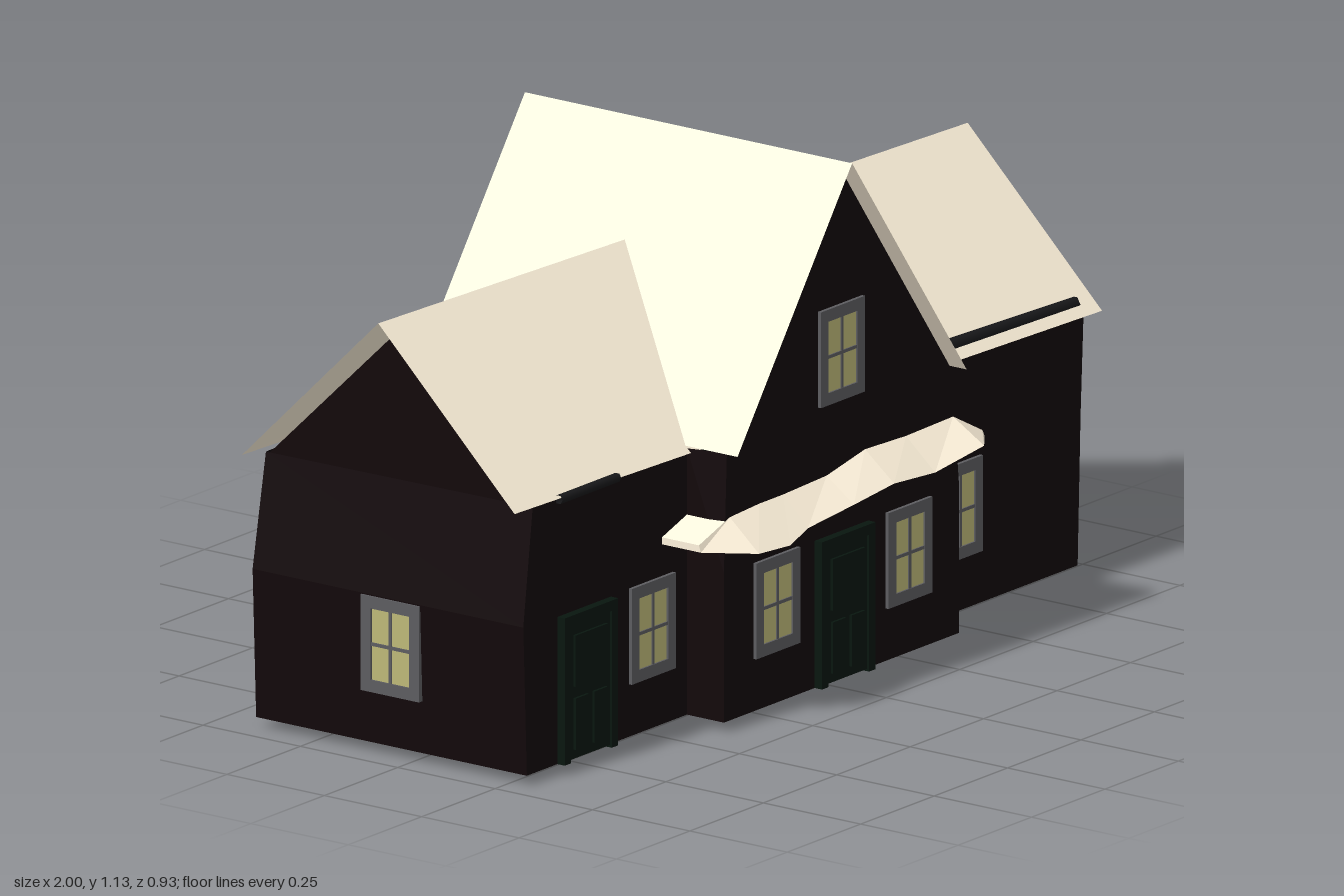
import * as THREE from 'three';

const mat = (color) => new THREE.MeshStandardMaterial({ color, side: THREE.DoubleSide });

export function createModel() {
  const house = new THREE.Group();
  house.name = 'house';
  const M = {
    wall: mat(0x12080a), inner: mat(0x08140f), rim: mat(0x827c48), roof: mat(0xfff3dc),
    frame: mat(0x5c5c60), glass: mat(0xbdb878), door: mat(0x08160f), gutter: mat(0x18181a),
  };

  const add = (parent, name, geometry, material, x = 0, y = 0, z = 0) => {
    const mesh = new THREE.Mesh(geometry, material);
    mesh.name = name;
    mesh.position.set(x, y, z);
    parent.add(mesh);
    return mesh;
  };
  const box = (parent, name, w, h, d, material, x, y, z) =>
    add(parent, name, new THREE.BoxGeometry(w, h, d), material, x, y, z);

  // Flat-shaded surface lofted through rows of points
  const sheet = (name, rows, material) => {
    const n = rows[0].length, index = [];
    for (let r = 0; r < rows.length - 1; r++)
      for (let i = 0; i < n - 1; i++) {
        const a = r * n + i, b = a + n;
        index.push(a, a + 1, b, a + 1, b + 1, b);
      }
    let g = new THREE.BufferGeometry();
    g.setAttribute('position', new THREE.Float32BufferAttribute(rows.flat(2), 3));
    g.setIndex(index);
    g = g.toNonIndexed();
    g.computeVertexNormals();
    return add(house, name, g, material);
  };
  const triangle = (name, a, b, c, material) => sheet(name, [[a, b], [c, c]], material);

  // Slightly leaning walls: each corner is given at the foot, middle and top
  const corners = [
    [[-0.945, 0.02, 0.29], [-0.957, 0.34, 0.29], [-0.925, 0.59, 0.29]],
    [[-0.40, 0.02, 0.29], [-0.40, 0.34, 0.29], [-0.40, 0.59, 0.29]],
    [[-0.40, 0.02, 0.385], [-0.40, 0.34, 0.385], [-0.39, 0.595, 0.385]],
    [[0.40, 0.02, 0.385], [0.40, 0.34, 0.385], [0.375, 0.595, 0.385]],
    [[0.40, 0.02, 0.29], [0.40, 0.34, 0.29], [0.40, 0.57, 0.29]],
    [[0.93, 0.02, 0.29], [0.94, 0.34, 0.29], [0.95, 0.55, 0.29]],
    [[0.925, 0.02, -0.455], [0.94, 0.3, -0.452], [0.95, 0.58, -0.415]],
    [[0.14, 0.02, -0.46], [0.14, 0.3, -0.458], [0.14, 0.59, -0.42]],
    [[0, 0.02, -0.435], [0, 0.3, -0.432], [0, 0.59, -0.42]],
    [[-0.945, 0.02, -0.405], [-0.957, 0.34, -0.405], [-0.925, 0.585, -0.395]],
  ];
  corners.push(corners[0]);
  const inset = ([x, y, z], level) =>
    [x - Math.sign(x) * 0.04, level === 2 ? y - 0.03 : y, z - Math.sign(z) * 0.04];
  const insideCorners = corners.map((c) => c.map(inset));
  sheet('outerWalls', corners, M.wall);
  sheet('innerWalls', insideCorners, M.inner);
  sheet('wallFoot', corners.map((c, i) => [c[0], insideCorners[i][0]]), M.rim);

  // Gable walls
  triangle('leftGableWall', [0.95, 0.55, 0.29], [0.95, 0.55, -0.37], [0.95, 0.86, -0.045], M.wall);
  triangle('rightGableWall', [-0.925, 0.585, 0.29], [-0.925, 0.585, -0.385], [-0.925, 0.91, -0.05], M.wall);
  triangle('frontGableWall', [-0.39, 0.59, 0.385], [0.375, 0.59, 0.385], [-0.01, 1.12, 0.385], M.wall);

  // Main roof, its ridge sagging towards +x
  sheet('mainRoof', [
    [[-1, 0.595, 0.30], [-1, 0.94, -0.05], [-1, 0.595, -0.40]],
    [[1, 0.55, 0.30], [1, 0.89, -0.045], [1, 0.555, -0.37]],
  ], M.roof);

  // Cross roof with its closed back gable
  sheet('crossRoof', [0.42, -0.42].map((z) =>
    [[-0.40, 0.595, z], [-0.01, 1.13, z], [0.38, 0.595, z]]), M.roof);
  triangle('backGable', [-0.40, 0.595, -0.42], [0.38, 0.595, -0.42], [-0.01, 1.13, -0.42], M.roof);

  // Wavy porch roof: x, upper y, lower y, front z
  const porch = [
    [-0.485, 0.42, 0.405, 0.39], [-0.38, 0.455, 0.39, 0.46], [-0.28, 0.46, 0.385, 0.465],
    [-0.2, 0.46, 0.4, 0.45], [-0.05, 0.465, 0.415, 0.455], [0.08, 0.49, 0.43, 0.46],
    [0.22, 0.485, 0.42, 0.46], [0.38, 0.488, 0.44, 0.465], [0.48, 0.435, 0.425, 0.39],
  ];
  const porchRows = porch.map(([x, top, low, z]) => {
    const back = Math.abs(x) > 0.3 ? 0.29 : 0.36;
    return [[x, top, back], [x, top, 0.385], [x, low, z], [x, low, back]];
  });
  sheet('porchRoof', porchRows, M.roof);
  for (const row of [porchRows[0], porchRows.at(-1)])
    sheet('porchRoofEnd', [[row[0], row[1]], [row[3], row[2]]], M.roof);

  // Four-pane window, its glass showing on both sides of the wall
  const windowAt = (name, x, y, z, turn = 0) => {
    const g = new THREE.Group();
    g.name = name;
    g.position.set(x, y, z);
    g.rotation.y = turn;
    const w = 0.15, h = 0.205, b = 0.026;
    for (const s of [-1, 1]) {
      box(g, 'frameSide', b, h, 0.03, M.frame, s * (w - b) / 2, 0, -0.008);
      box(g, 'frameRail', w - 2 * b, b, 0.03, M.frame, 0, s * (h - b) / 2, -0.008);
    }
    box(g, 'glass', w - 2 * b, h - 2 * b, 0.056, M.glass, 0, 0, -0.025);
    for (const side of [0.004, -0.054]) {
      box(g, 'mullion', 0.007, h - 2 * b, 0.004, M.frame, 0, 0, side);
      box(g, 'transom', w - 2 * b, 0.007, 0.004, M.frame, 0, 0, side);
    }
    house.add(g);
  };
  const wy = 0.235;
  for (const s of [-1, 1]) {
    windowAt('frontWindow', s * 0.523, wy, 0.291);
    windowAt('bayWindow', s * 0.225, wy, 0.386);
  }
  windowAt('gableWindow', -0.005, 0.72, 0.386);
  windowAt('leftEndWindow', 0.941, wy, -0.045, Math.PI / 2);
  windowAt('rightEndWindow', -0.954, wy, -0.05, -Math.PI / 2);
  for (const x of [0.705, 0.46, 0.22, -0.24, -0.475, -0.75])
    windowAt('backWindow', x, wy, x > 0 ? -0.46 : -0.435 - 0.03 * x, Math.PI);

  // Doors, with casing and panels outside and a pale leaf inside
  const doorAt = (name, x, z, turn = 0) => {
    const g = new THREE.Group();
    g.name = name;
    g.position.set(x, 0.02, z);
    g.rotation.y = turn;
    box(g, 'leaf', 0.14, 0.29, 0.02, M.door, 0, 0.15, 0);
    for (const s of [-1, 1]) {
      box(g, 'casing', 0.022, 0.315, 0.03, M.door, s * 0.08, 0.1575, 0);
      box(g, 'panel', 0.045, 0.11, 0.008, M.door, s * 0.032, 0.08, 0.012);
    }
    box(g, 'lintel', 0.182, 0.022, 0.03, M.door, 0, 0.304, 0);
    box(g, 'upperPanel', 0.11, 0.11, 0.008, M.door, 0, 0.215, 0.012);
    box(g, 'insideLeaf', 0.14, 0.29, 0.01, M.roof, 0, 0.15, -0.05);
    box(g, 'insidePane', 0.08, 0.13, 0.008, M.gutter, 0, 0.2, -0.055);
    house.add(g);
  };
  doorAt('sideDoor', -0.75, 0.294);
  doorAt('mainDoor', 0, 0.389);
  doorAt('backDoor', -0.007, -0.436, Math.PI);

  // Gutters and downspout
  const pipe = (name, a, b, radius, material) => {
    const path = new THREE.LineCurve3(new THREE.Vector3(...a), new THREE.Vector3(...b));
    add(house, name, new THREE.TubeGeometry(path, 1, radius, 6), material);
  };
  pipe('frontGutter', [0.38, 0.588, 0.268], [0.95, 0.572, 0.266], 0.016, M.gutter);
  pipe('frontShortGutter', [-0.85, 0.59, 0.3], [-0.65, 0.59, 0.3], 0.01, M.gutter);
  pipe('backGutter', [0.38, 0.58, -0.395], [0.95, 0.572, -0.39], 0.02, M.gutter);
  pipe('downspout', [0.905, 0, -0.437], [0.93, 0.56, -0.405], 0.022, M.wall);
  return house;
}
